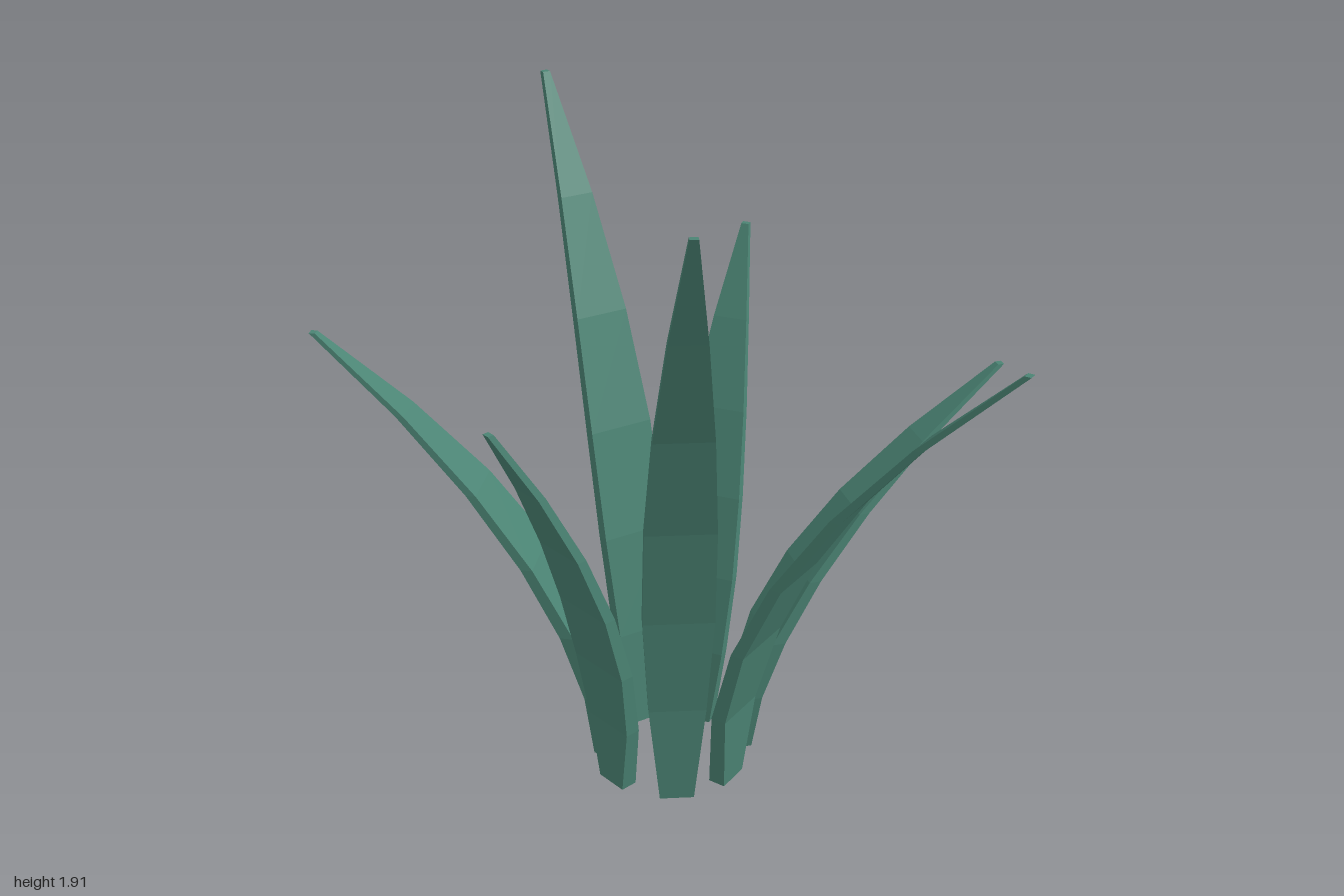
import * as THREE from 'three';

// Half-profile of a leaf blade: full width at each of seven equally spaced heights
const WIDTHS = [0.1, 0.165, 0.2, 0.195, 0.16, 0.1, 0.022];

// Each leaf: base centre (x, z), tip centre (x, z), height
const LEAVES = [
  { base: [0.2, 0.035], tip: [0.985, 0.267], height: 1.525 },
  { base: [0.185, -0.155], tip: [0.82, -0.583], height: 1.165 },
  { base: [0.03, -0.23], tip: [0.052, -0.605], height: 1.495 },
  { base: [-0.13, -0.18], tip: [-0.533, -0.538], height: 1.91 },
  { base: [-0.19, 0.0], tip: [-0.99, 0.115], height: 1.31 },
  { base: [-0.1, 0.15], tip: [-0.303, 0.505], height: 1.285 },
  { base: [0.085, 0.16], tip: [0.257, 0.595], height: 1.9 },
];

// Rectangular cross-sections stacked along an outward parabola
function leafGeometry({ base, tip, height }) {
  const dir = new THREE.Vector2(tip[0] - base[0], tip[1] - base[1]);
  const reach = dir.length();
  dir.normalize();
  const last = WIDTHS.length - 1;
  const positions = [];
  const index = [];

  WIDTHS.forEach((width, i) => {
    const t = i / last;
    const out = reach * t * t;
    const thick = THREE.MathUtils.lerp(0.052, 0.018, t);
    for (const [o, s] of [[1, -1], [1, 1], [-1, 1], [-1, -1]]) {
      const along = out + (o * thick) / 2;
      const side = (s * width) / 2;
      positions.push(
        base[0] + dir.x * along + dir.y * side,
        height * t,
        base[1] + dir.y * along - dir.x * side
      );
    }
  });

  // Side walls
  for (let i = 0; i < last; i++) {
    for (let j = 0; j < 4; j++) {
      const a = i * 4 + j;
      const b = i * 4 + ((j + 1) % 4);
      index.push(a, b, b + 4, a, b + 4, a + 4);
    }
  }
  // Bottom and tip caps
  const k = last * 4;
  index.push(0, 2, 1, 0, 3, 2, k, k + 1, k + 2, k, k + 2, k + 3);

  const indexed = new THREE.BufferGeometry();
  indexed.setAttribute('position', new THREE.Float32BufferAttribute(positions, 3));
  indexed.setIndex(index);
  const geometry = indexed.toNonIndexed();
  geometry.computeVertexNormals();
  return geometry;
}

export function createModel() {
  const plant = new THREE.Group();
  plant.name = 'plant';
  const leafGreen = new THREE.MeshStandardMaterial({ color: 0x4b8474 });
  leafGreen.name = 'leafGreen';

  LEAVES.forEach((leaf, i) => {
    const mesh = new THREE.Mesh(leafGeometry(leaf), leafGreen);
    mesh.name = `leaf${i + 1}`;
    plant.add(mesh);
  });
  return plant;
}
